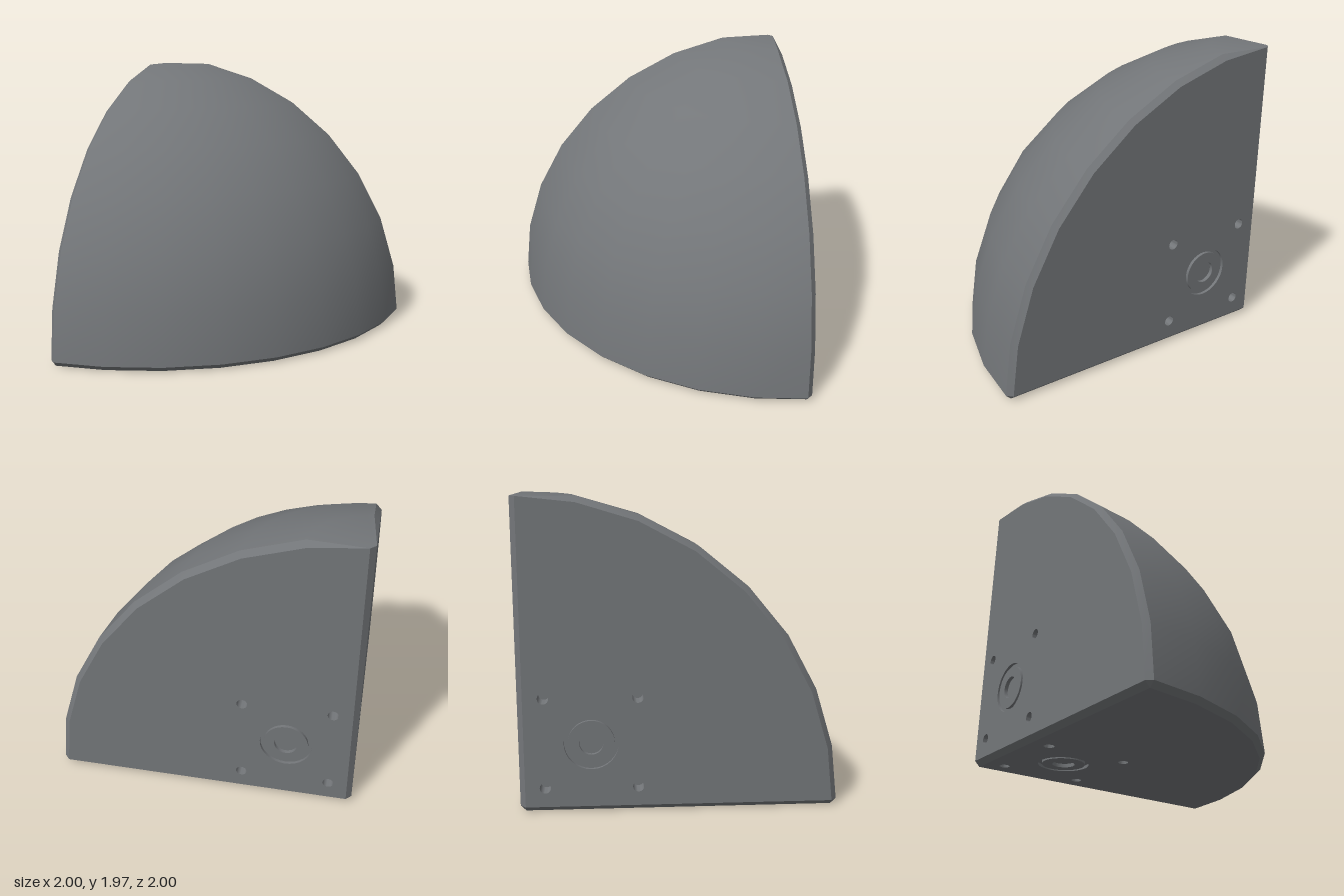
import * as THREE from 'three';
import { toCreasedNormals } from 'three/addons/utils/BufferGeometryUtils.js';

const R = 2, C = 0.035, SEG = 8;          // radius, chamfer, segments per quarter arc
const CENTRE = 0.45, PITCH = 0.29;        // layout of the recesses on each flat face
const V = (x, y, z) => new THREE.Vector3(x, y, z);
const angle = (i) => (i / SEG) * Math.PI / 2;

// Skin between rows of points, every triangle turned away from the inside of the body
function skin(rows) {
  const n = rows[0].length, pts = rows.flat(), index = [], inside = V(0.5, 0.5, 0.5);
  const tri = (a, b, c) => {
    const normal = pts[b].clone().sub(pts[a]).cross(pts[c].clone().sub(pts[a]));
    if (normal.length() < 1e-8) return;
    if (normal.dot(pts[a].clone().sub(inside)) > 0) index.push(a, b, c);
    else index.push(a, c, b);
  };
  for (let j = 0; j < rows.length - 1; j++) {
    for (let i = 0; i < n - 1; i++) {
      const a = j * n + i;
      tri(a, a + 1, a + n);
      tri(a + 1, a + n + 1, a + n);
    }
  }
  const geo = new THREE.BufferGeometry().setFromPoints(pts);
  geo.setIndex(index);
  geo.computeVertexNormals();
  return geo;
}

// Outer arc of a flat face, in its own two coordinates
const faceArc = () => Array.from({ length: SEG + 1 }, (_, i) => [
  Math.max(C, (R - C) * Math.cos(angle(i))),
  Math.max(C, (R - C) * Math.sin(angle(i))),
]);

function circle(Type, x, y, r) {
  const path = new Type();
  path.absarc(x, y, r, 0, Math.PI * 2, false);
  return path;
}

export function createModel() {
  const grey = new THREE.MeshStandardMaterial({ color: 0x737679 });
  grey.name = 'slateGrey';
  const model = new THREE.Group();
  const body = new THREE.Group();
  body.name = 'sphereOctant';
  body.position.set(-1, 0, -1);
  model.add(body);
  const add = (parent, name, geo) => {
    const mesh = new THREE.Mesh(geo, grey);
    mesh.name = name;
    parent.add(mesh);
    return mesh;
  };

  // Domed surface, from the base ring up to the chamfered peak
  const rows = [];
  for (let j = 0; j <= SEG; j++) {
    const row = [];
    for (let i = 0; i <= SEG; i++) {
      const r = R * Math.cos(angle(j)), y = R * Math.sin(angle(j));
      row.push(j === SEG
        ? V(C * (1 - i / SEG), R - C, C * i / SEG)
        : V(Math.max(C, r * Math.cos(angle(i))), Math.max(C, y), Math.max(C, r * Math.sin(angle(i)))));
    }
    rows.push(row);
  }
  add(body, 'dome', skin(rows));

  // Chamfers between the dome and the three flat faces
  const arc = faceArc();
  const chamfers = {
    backRimChamfer: [rows.map((r) => r[0]), arc.map(([a, b]) => V(a, b, 0))],
    sideRimChamfer: [rows.map((r) => r[SEG]), arc.map(([a, b]) => V(0, b, a))],
    baseRimChamfer: [rows[0], arc.map(([a, b]) => V(a, 0, b))],
    // Straight chamfers where flat faces meet
    uprightChamfer: [[V(C, C, 0), V(C, R - C, 0)], [V(0, C, C), V(0, R - C, C)]],
    backBaseChamfer: [[V(C, C, 0), V(R - C, C, 0)], [V(C, 0, C), V(R - C, 0, C)]],
    sideBaseChamfer: [[V(C, 0, C), V(C, 0, R - C)], [V(0, C, C), V(0, C, R - C)]],
    // Small corner facets
    innerCorner: [[V(C, C, 0), V(C, 0, C)], [V(0, C, C), V(0, C, C)]],
    rightCorner: [[V(R - C, C, 0), V(R - C, 0, C)], [V(R, C, C), V(R, C, C)]],
    frontCorner: [[V(0, C, R - C), V(C, 0, R - C)], [V(C, C, R), V(C, C, R)]],
  };
  for (const [name, strip] of Object.entries(chamfers)) {
    add(body, name, toCreasedNormals(skin(strip), 0.5));
  }

  // Flat face with four pin holes, a ring groove and a centre recess
  const pins = [[-1, -1], [1, -1], [1, 1], [-1, 1]]
    .map(([a, b]) => [CENTRE + a * PITCH, CENTRE + b * PITCH]);
  const face = new THREE.Shape([[C, C], ...arc].map(([a, b]) => new THREE.Vector2(a, b)));
  for (const [a, b] of pins) face.holes.push(circle(THREE.Path, a, b, 0.035));
  face.holes.push(circle(THREE.Path, CENTRE, CENTRE, 0.17));
  const island = circle(THREE.Shape, CENTRE, CENTRE, 0.145);
  island.holes.push(circle(THREE.Path, CENTRE, CENTRE, 0.075));
  const faceGeo = new THREE.ShapeGeometry([face, island], 16);

  const recess = (profile) => toCreasedNormals(
    new THREE.LatheGeometry(profile.map(([r, y]) => new THREE.Vector2(r, y)), 32).rotateX(Math.PI / 2), 0.6);
  const pinGeo = recess([[0.035, 0], [0.035, -0.1], [0, -0.1]]);
  const grooveGeo = recess([[0.17, 0], [0.17, -0.02], [0.145, -0.02], [0.145, 0]]);
  const centreGeo = recess([[0.075, 0], [0.075, -0.025], [0, -0.025]]);

  const X = V(1, 0, 0), Y = V(0, 1, 0), Z = V(0, 0, 1);
  for (const [name, u, v] of [['backFace', Y, X], ['sideFace', Z, Y], ['baseFace', X, Z]]) {
    const group = new THREE.Group();
    group.name = name;
    group.quaternion.setFromRotationMatrix(
      new THREE.Matrix4().makeBasis(u, v, u.clone().cross(v)));
    body.add(group);
    add(group, name + 'Plate', faceGeo);
    for (const [a, b] of pins) add(group, 'pinHole', pinGeo).position.set(a, b, 0);
    add(group, 'ringGroove', grooveGeo).position.set(CENTRE, CENTRE, 0);
    add(group, 'centreRecess', centreGeo).position.set(CENTRE, CENTRE, 0);
  }
  return model;
}
